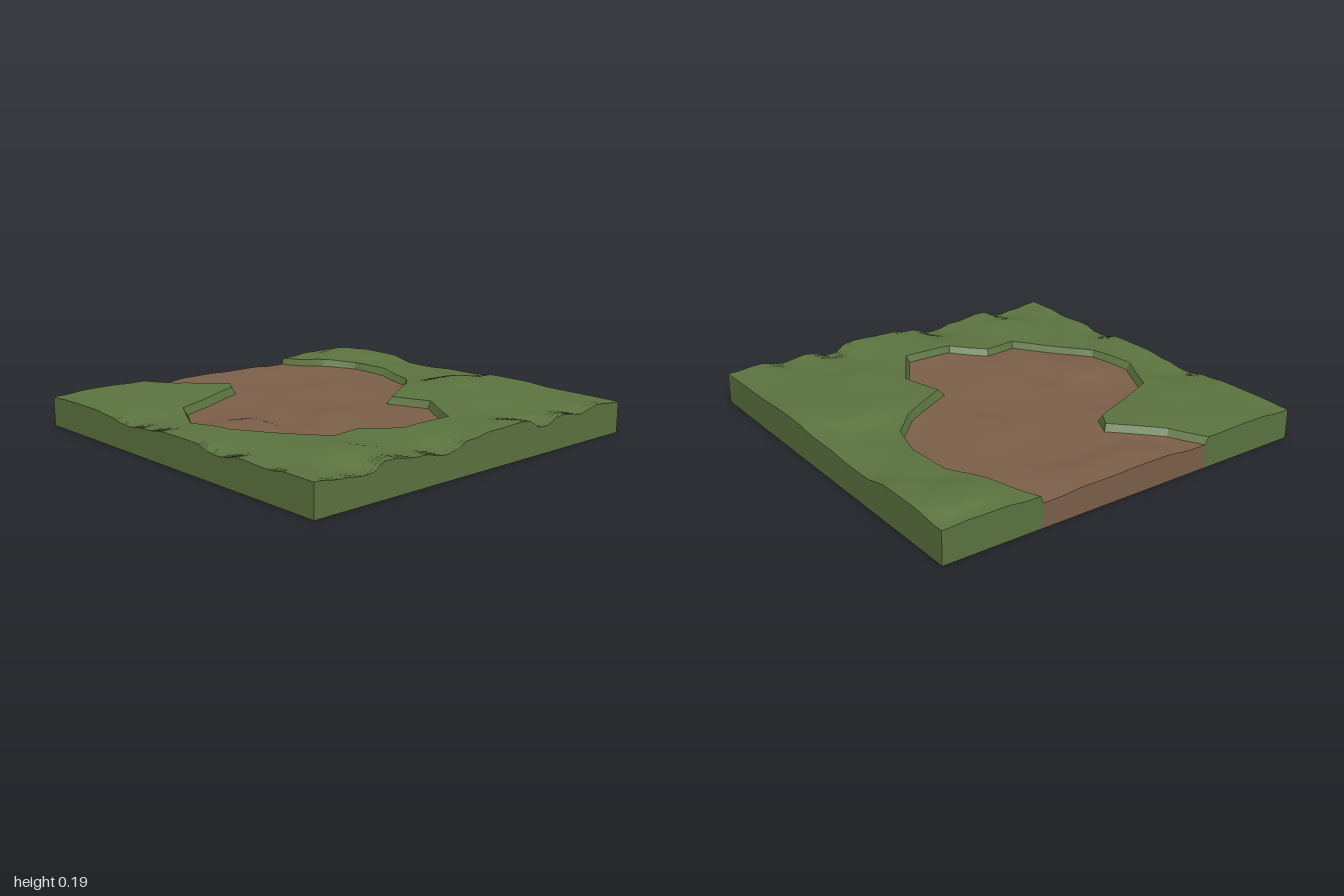
import * as THREE from 'three';
import { mergeVertices } from 'three/addons/utils/BufferGeometryUtils.js';

const green = new THREE.MeshStandardMaterial({ color: 0x5c7440, side: THREE.DoubleSide });
const brown = new THREE.MeshStandardMaterial({ color: 0x7d604a, side: THREE.DoubleSide });
const DEPTH = 0.035; // how far the dirt lies below the grass
const LEVEL = 5; // midpoint subdivisions

// Edge of the grass and, slightly inside it, edge of the dirt, as [x, z]
const grassEdge = [
  [-1, -0.51], [-0.75, -0.61], [-0.57, -0.7], [-0.34, -0.71], [-0.11, -0.64], [0.01, -0.52], [0.18, -0.24],
  [0.39, -0.3], [0.66, -0.13], [0.66, 0.15], [0.51, 0.3], [0.53, 0.48], [0.15, 0.75], [-0.09, 0.8],
  [-0.35, 0.66], [-0.54, 0.22], [-0.62, 0.17], [-0.83, 0.37], [-1, 0.46],
];
const dirtEdge = [
  [-1, -0.5], [-0.74, -0.59], [-0.57, -0.685], [-0.34, -0.685], [-0.12, -0.625], [0, -0.505], [0.17, -0.21],
  [0.39, -0.28], [0.645, -0.12], [0.645, 0.14], [0.49, 0.29], [0.515, 0.47], [0.14, 0.735], [-0.09, 0.775],
  [-0.33, 0.65], [-0.52, 0.21], [-0.63, 0.155], [-0.84, 0.355], [-1, 0.44],
];

// Height control points: profiles along the four sides, then the interior
const frontSide = [[-1, 0.15], [-0.8, 0.155], [-0.6, 0.155], [-0.45, 0.145], [-0.32, 0.125], [-0.15, 0.14],
  [0, 0.155], [0.2, 0.155], [0.38, 0.128], [0.55, 0.15], [0.7, 0.143], [0.85, 0.155]];
const leftSide = [[1, 0.155], [0.85, 0.138], [0.73, 0.124], [0.6, 0.165], [0.4, 0.145], [0.25, 0.12], [0.1, 0.16],
  [-0.05, 0.175], [-0.25, 0.18], [-0.42, 0.13], [-0.55, 0.165], [-0.7, 0.143], [-0.8, 0.17], [-1, 0.158]];
const backSide = [[-1, 0.16], [-0.65, 0.175], [-0.35, 0.145], [0, 0.155], [0.3, 0.17], [0.7, 0.16]];
const rightSide = [[-0.8, 0.165], [-0.5, 0.155], [-0.2, 0.165], [0.1, 0.17], [0.45, 0.155], [0.75, 0.16]];
const interior = [
  [-0.86, 0.19, -0.84], [-0.5, 0.165, -0.75], [-0.1, 0.15, -0.75], [0.17, 0.182, -0.75], [0.5, 0.17, -0.5],
  [0.8, 0.155, -0.45], [0.75, 0.165, 0], [0.7, 0.15, 0.4], [0.75, 0.165, 0.6], [0.4, 0.15, 0.8],
  [-0.5, 0.155, 0.7], [-0.65, 0.16, 0.3], [-0.6, 0.15, -0.15], [-0.25, 0.165, -0.35], [-0.15, 0.15, 0.05],
  [0.2, 0.165, 0.2], [0.1, 0.145, 0.36], [0.05, 0.17, 0.56], [0.4, 0.16, -0.05], [-0.2, 0.15, 0.45],
];
const controls = [
  ...frontSide.map(([x, y]) => [x, y, 1]),
  ...leftSide.map(([z, y]) => [1, y, z]),
  ...backSide.map(([x, y]) => [x, y, -1]),
  ...rightSide.map(([z, y]) => [-1, y, z]),
  ...interior,
];

// Smooth ground height from distance-weighted control points
function height(x, z) {
  let sum = 0, total = 0;
  for (const [cx, cy, cz] of controls) {
    const w = 1 / ((x - cx) ** 2 + (z - cz) ** 2 + 0.002) ** 2;
    sum += w * cy;
    total += w;
  }
  return sum / total;
}
const grassPoint = ([x, z]) => [x, height(x, z), z];
const dirtPoint = ([x, z]) => [x, height(x, z) - DEPTH, z];
const floorPoint = ([x, z]) => [x, 0, z];
const mix = (a, b, t) => a.map((v, i) => v + (b[i] - v) * t);

function makeMesh(name, positions, material) {
  let geometry = new THREE.BufferGeometry();
  geometry.setAttribute('position', new THREE.Float32BufferAttribute(positions, 3));
  geometry = mergeVertices(geometry, 1e-5);
  geometry.computeVertexNormals();
  const mesh = new THREE.Mesh(geometry, material);
  mesh.name = name;
  return mesh;
}

// Rolling ground inside an outline: triangulate, subdivide, lift
function ground(name, outline, lift, material) {
  const positions = [];
  const split = (a, b, c, level) => {
    if (level === 0) {
      for (const p of [a, b, c]) positions.push(...lift(p));
      return;
    }
    const ab = mix(a, b, 0.5), bc = mix(b, c, 0.5), ca = mix(c, a, 0.5);
    split(a, ab, ca, level - 1);
    split(ab, b, bc, level - 1);
    split(ca, bc, c, level - 1);
    split(ab, bc, ca, level - 1);
  };
  const faces = THREE.ShapeUtils.triangulateShape(outline.map(([x, z]) => new THREE.Vector2(x, z)), []);
  for (const face of faces) {
    const [a, b, c] = face.map((i) => outline[i]);
    const turn = (b[0] - a[0]) * (c[1] - a[1]) - (b[1] - a[1]) * (c[0] - a[0]);
    if (turn > 0) split(a, c, b, LEVEL); // keep faces upward
    else split(a, b, c, LEVEL);
  }
  return makeMesh(name, positions, material);
}

// Strip between an upper and a lower path of equal point count
function strip(name, upper, liftUpper, lower, liftLower, material) {
  const positions = [], steps = 2 ** LEVEL;
  for (let i = 0; i < upper.length - 1; i++) {
    for (let s = 0; s < steps; s++) {
      const [t, u] = [s / steps, (s + 1) / steps];
      const a = liftUpper(mix(upper[i], upper[i + 1], t)), b = liftUpper(mix(upper[i], upper[i + 1], u));
      const c = liftLower(mix(lower[i], lower[i + 1], t)), d = liftLower(mix(lower[i], lower[i + 1], u));
      positions.push(...a, ...c, ...b, ...b, ...c, ...d);
    }
  }
  return makeMesh(name, positions, material);
}

export function createModel() {
  const group = new THREE.Group();
  group.name = 'terrainTile';
  const corners = [[-1, 1], [1, 1], [1, -1], [-1, -1]];
  const first = grassEdge[0], last = grassEdge[grassEdge.length - 1];
  const dirtFirst = dirtEdge[0], dirtLast = dirtEdge[dirtEdge.length - 1];

  // Top surfaces
  group.add(ground('grassTop', [...grassEdge, ...corners], grassPoint, green));
  group.add(ground('dirtPatch', dirtEdge, dirtPoint, brown));

  // Sloping bank from grass down to dirt
  for (let i = 0; i < grassEdge.length - 1; i++) {
    const top = [grassEdge[i + 1], grassEdge[i]], foot = [dirtEdge[i + 1], dirtEdge[i]];
    group.add(strip('grassBank', top, grassPoint, foot, dirtPoint, green));
  }

  // Side walls of an open-bottomed shell
  const loop = [last, ...corners, first];
  for (let i = 0; i < loop.length - 1; i++) {
    const side = [loop[i], loop[i + 1]];
    group.add(strip('grassWall', side, grassPoint, side, floorPoint, green));
  }
  const dirtSide = [dirtFirst, dirtLast];
  group.add(strip('dirtWall', dirtSide, dirtPoint, dirtSide, floorPoint, brown));

  // Narrow wall ends where the bank meets the side
  for (const [outer, inner, flip] of [[first, dirtFirst, false], [last, dirtLast, true]]) {
    const ends = [grassPoint(outer), floorPoint(outer), dirtPoint(inner), floorPoint(inner)];
    const [a, b, c, d] = flip ? [ends[2], ends[3], ends[0], ends[1]] : ends;
    group.add(makeMesh('bankEnd', [...a, ...b, ...c, ...c, ...b, ...d], green));
  }
  return group;
}
